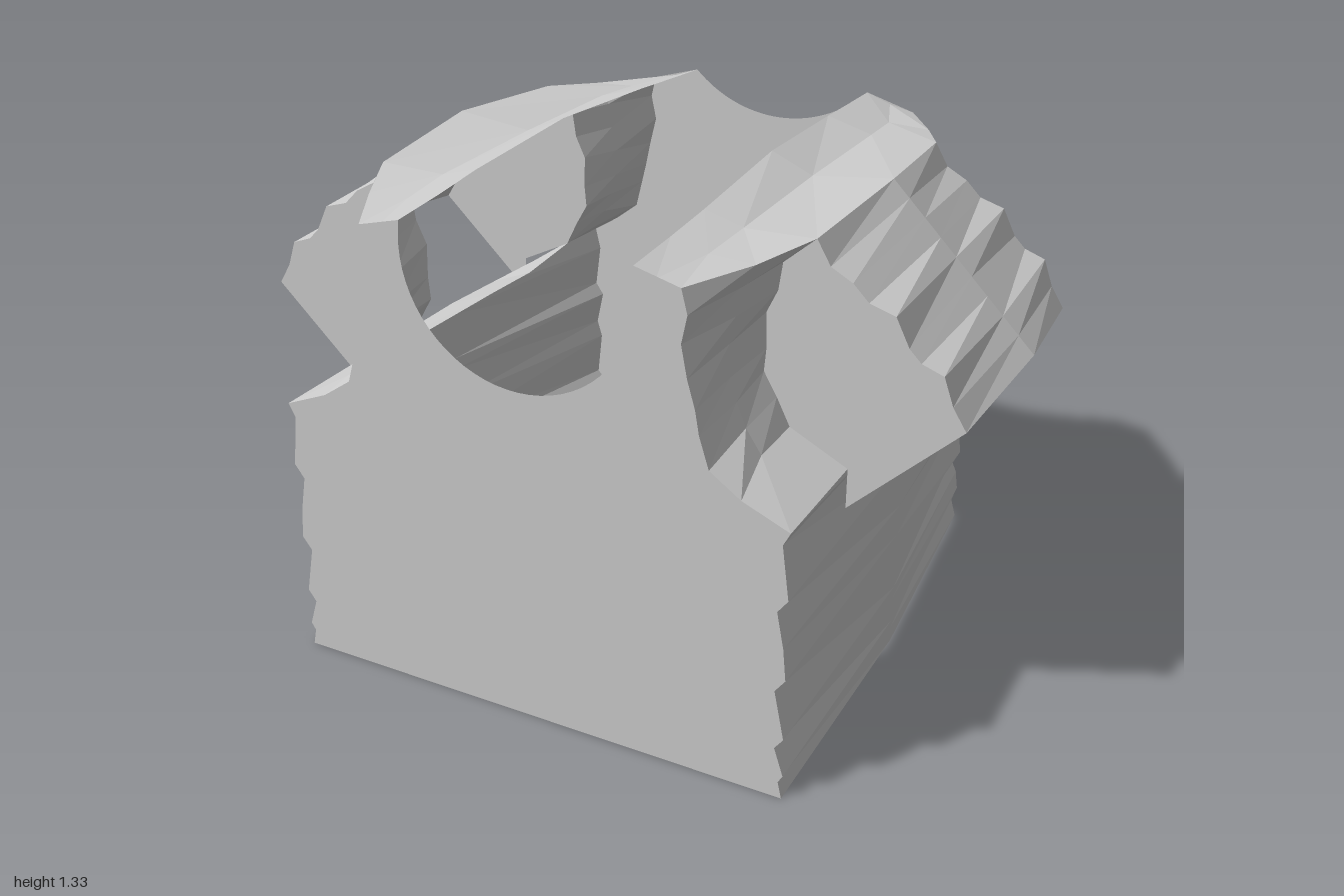
import * as THREE from 'three';

const fabric = new THREE.MeshStandardMaterial({ color: 0xcccccc, flatShading: true, side: THREE.DoubleSide });
fabric.name = 'greyFabric';

// Skin between rows of [x, y, z] points with equal counts
function loft(name, rows, s) {
  const n = rows[0].length, pos = [], index = [];
  rows.forEach(r => r.forEach(([x, y, z]) => pos.push(s * x, y, z)));
  for (let i = 0; i < rows.length - 1; i++) {
    for (let j = 0; j < n - 1; j++) {
      const a = i * n + j, b = a + n;
      if (s > 0) index.push(a, b, a + 1, b, b + 1, a + 1);
      else index.push(a, a + 1, b, b, a + 1, b + 1);
    }
  }
  const indexed = new THREE.BufferGeometry();
  indexed.setAttribute('position', new THREE.Float32BufferAttribute(pos, 3));
  indexed.setIndex(index);
  const g = indexed.toNonIndexed();
  g.computeVertexNormals();
  const mesh = new THREE.Mesh(g, fabric);
  mesh.name = name;
  return mesh;
}

// Flat sheet facing +z (or -z when back is true)
function sheet(name, pts, z, back = false) {
  const g = new THREE.ShapeGeometry(new THREE.Shape(pts.map(([x, y]) => new THREE.Vector2(back ? -x : x, y))));
  if (back) g.rotateY(Math.PI);
  const mesh = new THREE.Mesh(g, fabric);
  mesh.name = name;
  mesh.position.z = z;
  return mesh;
}

const at = (pts, z) => pts.map(([x, y]) => [x, y, z]);
const mirror = pts => pts.map(([x, y]) => [-x, y]).reverse();
const D = 0.73, S = 0.4;

// Crumpled side edges, hem to underarm
const sideFront = [[0.69, 0], [0.68, 0.045], [0.692, 0.065], [0.668, 0.14], [0.69, 0.17], [0.664, 0.3],
  [0.69, 0.335], [0.682, 0.42], [0.664, 0.515], [0.69, 0.55], [0.672, 0.69], [0.69, 0.725]];
const sideBack = [[0.63, 0], [0.61, 0.07], [0.63, 0.095], [0.622, 0.15], [0.605, 0.19], [0.63, 0.22],
  [0.615, 0.35], [0.63, 0.4], [0.608, 0.5], [0.632, 0.535], [0.615, 0.66], [0.63, 0.725]];
const sideMid = sideFront.map(([, y]) => [0.69, y]);

// Armhole curves, shoulder down to underarm
const armFront = [[0.42, 1.25], [0.435, 1.19], [0.42, 1.12], [0.435, 1.04], [0.455, 0.97], [0.465, 0.91],
  [0.49, 0.83], [0.57, 0.775], [0.69, 0.725]];
const armBack = [[0.41, 1.25], [0.425, 1.19], [0.41, 1.12], [0.43, 1.04], [0.445, 0.97], [0.46, 0.91],
  [0.48, 0.83], [0.55, 0.775], [0.63, 0.725]];
const armMid = [[0.515, 1.26], [0.48, 1.2], [0.47, 1.13], [0.455, 1.06], [0.46, 0.98], [0.475, 0.92],
  [0.5, 0.86], [0.54, 0.8], [0.69, 0.725]];
const armSleeve = [[0.59, 1.28], [0.51, 1.21], [0.5, 1.14], [0.472, 1.08], [0.475, 0.99], [0.47, 0.93],
  [0.505, 0.87], [0.54, 0.8], [0.69, 0.725]];
const narrow = (pts, w) => pts.map(([x, y], i) => [i === pts.length - 1 ? w : x, y]);

// Upper sleeve edge: crumpled at the panels, straight along the middle
const sleeveEdge = [[0.59, 1.28], [0.625, 1.22], [0.68, 1.19], [0.72, 1.15], [0.785, 1.13], [0.82, 1.06],
  [0.85, 1.03], [0.905, 1.01], [0.93, 0.94], [0.965, 0.885]];
const sleeveRidge = sleeveEdge.map((p, i) => {
  const t = i / (sleeveEdge.length - 1);
  return [0.62 + 0.38 * t, 1.305 - 0.385 * t];
});

// Neck scoops, centre to shoulder
const scoop = (cy, r, a) => Array.from({ length: 17 }, (_, i) => {
  const t = a * i / 16;
  return [r * Math.sin(t), cy - r * Math.cos(t)];
});
const neckFront = [...scoop(1.22, 0.31, Math.PI / 2), [0.305, 1.28]];
const neckBack = scoop(1.566, 0.386, 0.775);

function bodyPanel(name, side, arm, neck, z, back) {
  const half = [...side, ...arm.slice(0, -1).reverse(), ...neck.slice(1).reverse()];
  return sheet(name, [...half, neck[0], ...mirror(half)], z, back);
}

export function createModel() {
  const shirt = new THREE.Group();
  shirt.name = 'shirt';
  shirt.add(bodyPanel('frontPanel', sideFront, armFront, neckFront, D, false));
  shirt.add(bodyPanel('backPanel', sideBack, armBack, neckBack, -D, true));

  for (const s of [1, -1]) {
    const label = s > 0 ? 'left' : 'right';
    const half = new THREE.Group();
    half.name = label + 'Side';

    // Body side wall
    half.add(loft('sideWall', [at(sideFront, D), at(sideMid, 0), at(sideBack, -D)], s));

    // Shoulder strip
    half.add(loft('shoulder', [
      [[0.305, 1.28, D], [0.36, 1.26, D], [0.42, 1.25, D]],
      [[0.307, 1.29, 0.56], [0.4, 1.265, 0.56], [0.515, 1.26, 0.56]],
      [[0.31, 1.303, S], [0.41, 1.275, S], [0.59, 1.28, S]],
      [[0.3, 1.328, 0], [0.41, 1.28, 0], [0.62, 1.305, 0]],
      [[0.285, 1.31, -S], [0.41, 1.275, -S], [0.59, 1.28, -S]],
      [[0.278, 1.3, -0.56], [0.4, 1.265, -0.56], [0.515, 1.26, -0.56]],
      [[0.27, 1.29, -D], [0.34, 1.265, -D], [0.41, 1.25, -D]],
    ], s));

    // Armhole walls in front of and behind the sleeve
    half.add(loft('frontArmholeWall', [at(armFront, D), at(armMid, 0.56), at(armSleeve, S)], s));
    half.add(loft('backArmholeWall',
      [at(narrow(armSleeve, 0.657), -S), at(narrow(armMid, 0.644), -0.56), at(armBack, -D)], s));

    // Underarm gusset below the sleeve opening
    half.add(loft('underarm', [
      at([[0.54, 0.8], [0.69, 0.725]], S), at([[0.55, 0.783], [0.69, 0.725]], 0),
      at([[0.55, 0.775], [0.674, 0.725]], -0.2), at([[0.54, 0.8], [0.657, 0.725]], -S)], s));

    // Sleeve: two flat panels joined by the upper wall, open at the cuff
    const outline = [...sleeveEdge, [0.69, 0.62], ...armSleeve.slice(1).reverse()];
    const pts = s > 0 ? outline : mirror(outline);
    half.add(sheet('sleeveFront', pts, S));
    half.add(sheet('sleeveBack', pts, -S, true));
    half.add(loft('sleeveTop', [at(sleeveEdge, S), at(sleeveRidge, 0), at(sleeveEdge, -S)], s));
    shirt.add(half);
  }
  return shirt;
}
